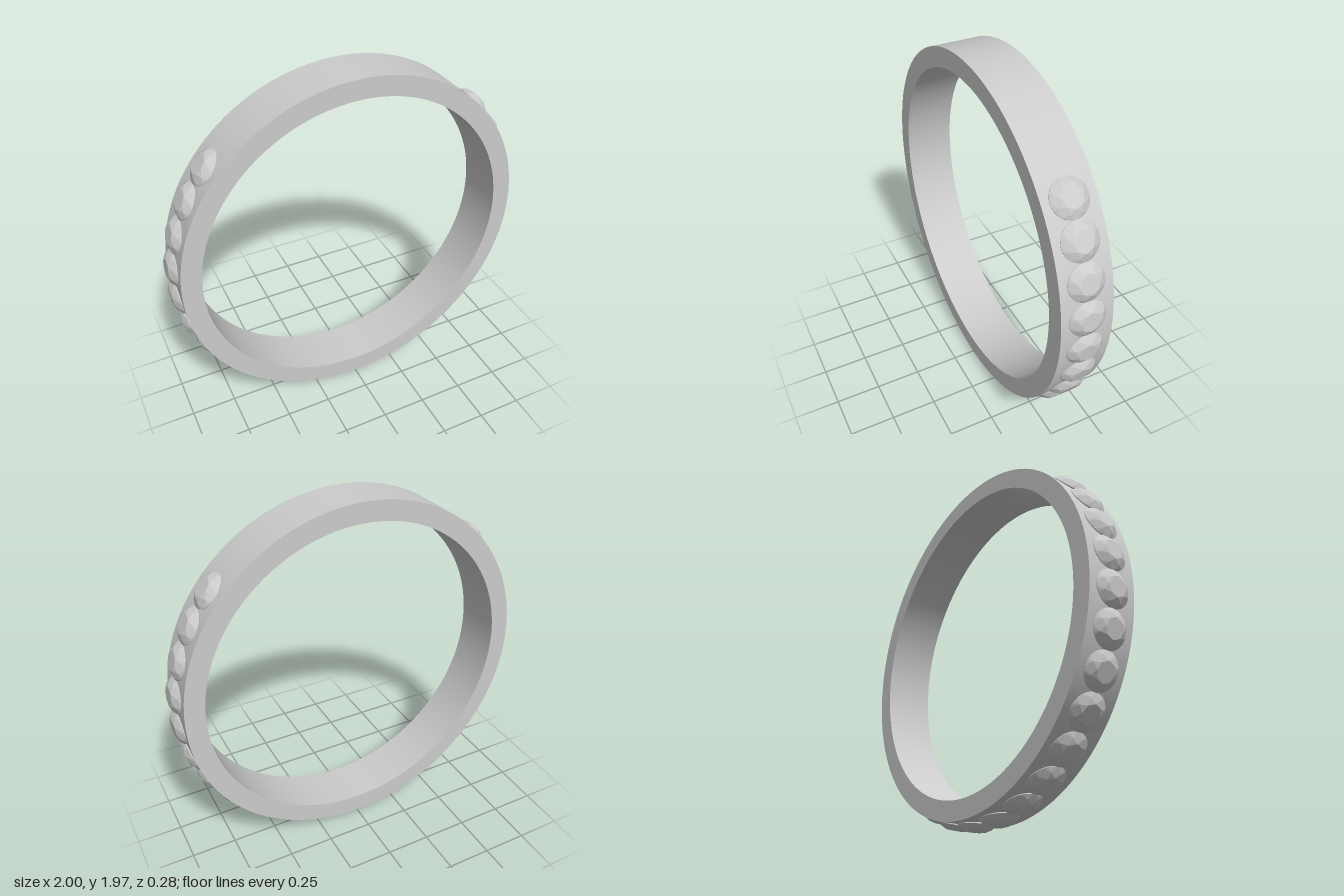
import * as THREE from 'three';
import { toCreasedNormals } from 'three/addons/utils/BufferGeometryUtils.js';
import { ConvexGeometry } from 'three/addons/geometries/ConvexGeometry.js';

const CENTRE_Y = 1.002;
const INNER = 0.859, OUTER = 0.965, HALF_WIDTH = 0.138;
const GEM_RADIUS = 0.097, GEM_SEAT = 0.968;
const GEMS_PER_SIDE = 12, GEM_STEP = THREE.MathUtils.degToRad(11.32);

// Flat band with crisp rims, its axis along z
function bandGeometry() {
  const profile = [
    [INNER, -HALF_WIDTH], [OUTER, -HALF_WIDTH],
    [OUTER, HALF_WIDTH], [INNER, HALF_WIDTH], [INNER, -HALF_WIDTH],
  ].map(([r, y]) => new THREE.Vector2(r, y));
  const geometry = new THREE.LatheGeometry(profile, 128);
  geometry.rotateX(Math.PI / 2);
  return toCreasedNormals(geometry, Math.PI / 6);
}

// Round brilliant cut: table up +y, girdle at y = 0
function gemGeometry() {
  const points = [];
  const ring = (radius, height, count, offset = 0) => {
    for (let i = 0; i < count; i++) {
      const a = ((i + offset) / count) * Math.PI * 2;
      points.push(new THREE.Vector3(Math.cos(a) * radius, height, Math.sin(a) * radius));
    }
  };
  const tableRadius = 0.053, tableHeight = 0.032, starRadius = 0.078;
  // star corners lie in the planes of the kite facets
  const starHeight = tableHeight * (GEM_RADIUS - starRadius * Math.cos(Math.PI / 8)) / (GEM_RADIUS - tableRadius);
  ring(tableRadius, tableHeight, 8);
  ring(starRadius, starHeight, 8, 0.5);
  ring(GEM_RADIUS, 0, 32);
  ring(GEM_RADIUS, -0.003, 32);
  points.push(new THREE.Vector3(0, -0.08, 0)); // culet
  return new ConvexGeometry(points);
}

export function createModel() {
  const model = new THREE.Group();
  model.name = 'ring';

  const metal = new THREE.MeshStandardMaterial({ color: 0xcccccc });
  const stone = new THREE.MeshStandardMaterial({ color: 0xcccccc, flatShading: true });

  const band = new THREE.Mesh(bandGeometry(), metal);
  band.name = 'band';
  band.position.y = CENTRE_Y;
  model.add(band);

  // Stones run up both sides from the bottom of the band
  const gems = new THREE.Group();
  gems.name = 'gems';
  gems.position.y = CENTRE_Y;
  const gem = gemGeometry();
  for (const side of [1, -1]) {
    for (let i = 0; i < GEMS_PER_SIDE; i++) {
      const angle = side * (i + 0.5) * GEM_STEP; // measured from straight down
      const mesh = new THREE.Mesh(gem, stone);
      mesh.name = `${side > 0 ? 'left' : 'right'}Gem${i + 1}`;
      mesh.position.set(Math.sin(angle) * GEM_SEAT, -Math.cos(angle) * GEM_SEAT, 0);
      mesh.rotation.z = Math.PI + angle;
      gems.add(mesh);
    }
  }
  model.add(gems);
  return model;
}
